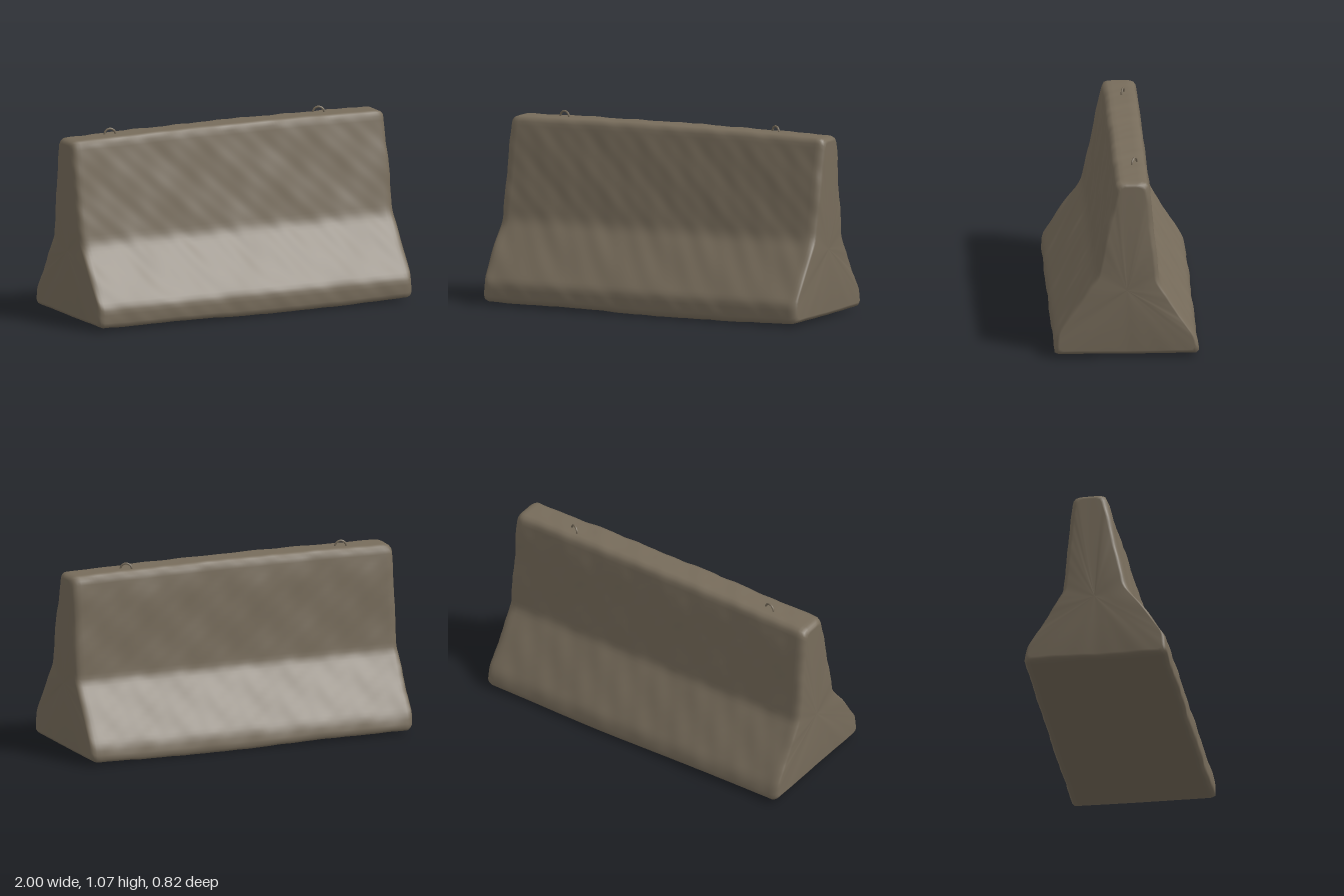
import * as THREE from 'three';

const concrete = new THREE.MeshStandardMaterial({ color: 0x776c5b });
concrete.name = 'weathered concrete';

// Barrier cross-section as [z, y, corner radius], from front foot over the top to back foot
const PROFILE = [
  [0.41, 0.012, 0.025], [0.408, 0.13, 0.03], [0.182, 0.46, 0.04], [0.06, 1.04, 0.025],
  [-0.118, 1.04, 0.035], [-0.14, 0.9, 0.04], [-0.166, 0.6, 0.05], [-0.183, 0.44, 0.03],
  [-0.395, 0.1, 0.04], [-0.41, 0.012, 0.025],
];

// Evenly spaced points round the cross-section with softened corners
function sectionPoints(count) {
  const pts = PROFILE.map(([z, y]) => new THREE.Vector2(z, y));
  const n = pts.length;
  const shape = new THREE.Shape();
  const toward = (a, b, d) => a.clone().add(b.clone().sub(a).setLength(d));
  pts.forEach((p, i) => {
    const r = PROFILE[i][2];
    const a = toward(p, pts[(i + n - 1) % n], r);
    const b = toward(p, pts[(i + 1) % n], r);
    if (i === 0) shape.moveTo(a.x, a.y);
    else shape.lineTo(a.x, a.y);
    shape.quadraticCurveTo(p.x, p.y, b.x, b.y);
  });
  shape.closePath();
  return shape.getSpacedPoints(count).slice(0, count);
}

// Gentle lumps for the worn surface
const lumps = (x, y, z) =>
  0.0025 * Math.sin(9 * x + 5 * y + 2) * Math.sin(11 * y - 7 * z + 1) +
  0.002 * Math.sin(23 * x - 13 * z) * Math.sin(19 * y + 4 * x + 2) +
  0.001 * Math.sin(47 * x + 31 * y) * Math.sin(37 * z + 29 * y);

// Stations along the length: [x, edge inset, scale toward the section centre]
function stations() {
  const list = [];
  const end = [[1, 0, 0], [0.998, 0, 0.45], [0.994, 0.028, 1], [0.988, 0.016, 1], [0.978, 0.007, 1], [0.96, 0, 1]];
  end[0][0] = 0.996;
  end[1][0] = 0.996;
  end.forEach(([x, inset, s]) => list.push([-x, s < 1 ? 0.028 : inset, s]));
  const steps = 90;
  for (let i = 1; i < steps; i++) list.push([-0.96 + (1.92 * i) / steps, 0, 1]);
  [...end].reverse().forEach(([x, inset, s]) => list.push([x, s < 1 ? 0.028 : inset, s]));
  return list;
}

function barrierGeometry() {
  const section = sectionPoints(130);
  const rows = stations();
  const n = section.length;
  const positions = [];
  const index = [];
  rows.forEach(([x, inset, s]) => {
    section.forEach((p) => {
      // Draw the section in at the ends to round their edges
      let z = p.x + 0.03;
      z -= Math.sign(z) * inset * Math.min(1, Math.abs(z) / 0.06);
      z = (z - 0.03) * s;
      let y = 0.53 + (p.y - 0.53) * (1 - inset / 0.51);
      y = 0.4 + (y - 0.4) * s;
      // Low crown on the top and slight sag under the middle
      const mid = 1 - x * x;
      if (y > 0.9) y += ((y - 0.9) / 0.14) * (0.012 * mid - 0.008);
      if (y < 0.1) y += ((0.1 - y) / 0.09) * (0.006 - 0.013 * Math.exp(-(((x - 0.25) / 0.5) ** 2)));
      const d = lumps(x, y, z);
      const across = Math.min(1, Math.abs(z) / 0.05);
      const endBulge = Math.abs(x) > 0.95 ? d * Math.sign(x) : 0;
      positions.push(x + endBulge, Math.max(0, y + d * 0.8), z + Math.sign(z) * d * across);
    });
  });
  for (let i = 0; i < rows.length - 1; i++) {
    for (let j = 0; j < n; j++) {
      const k = (j + 1) % n;
      const a = i * n + j, b = (i + 1) * n + j, c = (i + 1) * n + k, e = i * n + k;
      index.push(a, b, e, b, c, e);
    }
  }
  const g = new THREE.BufferGeometry();
  g.setAttribute('position', new THREE.Float32BufferAttribute(positions, 3));
  g.setIndex(index);
  g.computeVertexNormals();
  return g;
}

// Bent steel lifting loop with its legs set into the top
function liftingLoop() {
  const pts = [new THREE.Vector3(-0.032, -0.03, 0)];
  for (let i = 0; i <= 8; i++) {
    const a = Math.PI * (1 - i / 8);
    pts.push(new THREE.Vector3(0.032 * Math.cos(a), 0.032 * Math.sin(a), 0));
  }
  pts.push(new THREE.Vector3(0.032, -0.03, 0));
  return new THREE.TubeGeometry(new THREE.CatmullRomCurve3(pts), 28, 0.006, 8);
}

export function createModel() {
  const model = new THREE.Group();
  model.name = 'concreteBarrier';

  const body = new THREE.Mesh(barrierGeometry(), concrete);
  body.name = 'barrierBody';
  model.add(body);

  const loop = liftingLoop();
  [['rightLiftingLoop', -0.7, -0.042, -0.25], ['leftLiftingLoop', 0.63, -0.055, -0.5]].forEach(([name, x, z, turn]) => {
    const mesh = new THREE.Mesh(loop, concrete);
    mesh.name = name;
    mesh.position.set(x, 1.036, z);
    mesh.rotation.y = turn;
    model.add(mesh);
  });
  return model;
}
